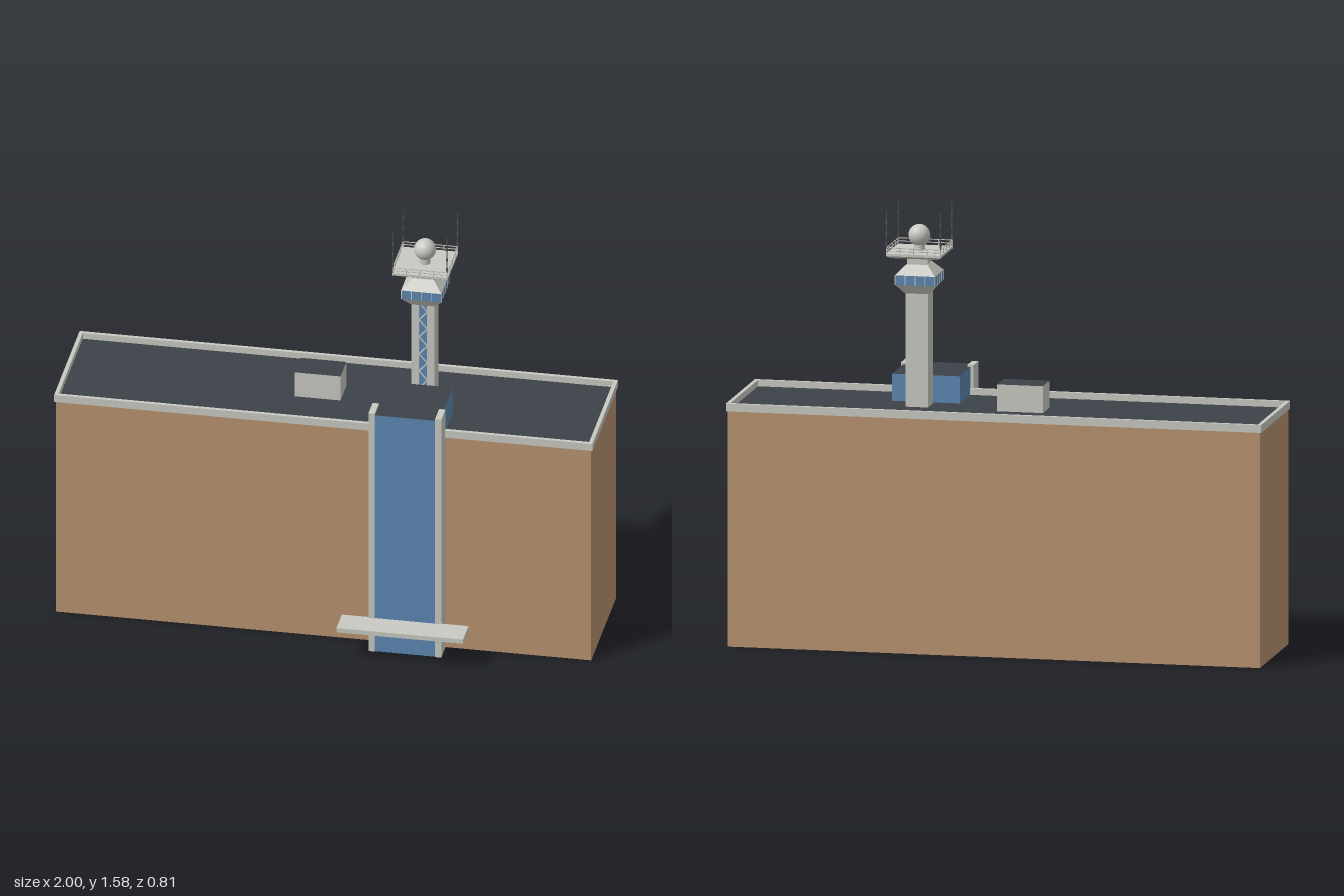
import * as THREE from 'three';

const material = (name, color, side = THREE.FrontSide) => {
  const m = new THREE.MeshStandardMaterial({ color, side });
  m.name = name;
  return m;
};

export function createModel() {
  const brick = material('tan wall', 0xb8926f, THREE.DoubleSide);
  const concrete = material('pale concrete', 0xc9c9c2, THREE.DoubleSide);
  const glass = material('blue glass', 0x5b87b3, THREE.DoubleSide);
  const roofing = material('dark roofing', 0x3d4249);
  const metal = material('dark metal', 0x55585a);

  const model = new THREE.Group();
  model.name = 'terminalWithTower';
  model.rotation.y = THREE.MathUtils.degToRad(10);

  const add = (name, geometry, mat, parent = model) => {
    const mesh = new THREE.Mesh(geometry, mat);
    mesh.name = name;
    parent.add(mesh);
    return mesh;
  };

  // Box given by its limits on each axis
  const boxGeo = (x0, x1, y0, y1, z0, z1) =>
    new THREE.BoxGeometry(x1 - x0, y1 - y0, z1 - z0)
      .translate((x0 + x1) / 2, (y0 + y1) / 2, (z0 + z1) / 2);
  const box = (name, mat, limits, parent) => add(name, boxGeo(...limits), mat, parent);

  // Box without a floor, with its own material on top
  const shell = (name, side, top, limits) => {
    const g = boxGeo(...limits);
    const index = Array.from(g.index.array);
    g.setIndex([...index.slice(0, 12), ...index.slice(24), ...index.slice(12, 18)]);
    g.clearGroups();
    g.addGroup(0, 24, 0);
    g.addGroup(24, 6, 1);
    return add(name, g, [side, top]);
  };

  // Flat-sided square frustum given by half widths
  const frustum = (name, mat, bottom, top, y0, y1, parent) => {
    const g = new THREE.CylinderGeometry(top * Math.SQRT2, bottom * Math.SQRT2, y1 - y0, 4)
      .rotateY(Math.PI / 4).translate(0, (y0 + y1) / 2, 0).toNonIndexed();
    g.computeVertexNormals();
    return add(name, g, mat, parent);
  };

  // Thin round bar between two points
  const bar = (name, mat, a, b, r, parent, sides = 6) => {
    const from = new THREE.Vector3(...a), to = new THREE.Vector3(...b);
    const dir = to.clone().sub(from);
    const mesh = add(name, new THREE.CylinderGeometry(r, r, dir.length(), sides), mat, parent);
    mesh.position.copy(from).add(to).multiplyScalar(0.5);
    mesh.quaternion.setFromUnitVectors(new THREE.Vector3(0, 1, 0), dir.normalize());
    return mesh;
  };

  // Main block, roof and parapet
  const hx = 0.9675, hz = 0.235, px = 0.973, pz = 0.242, t = 0.014;
  shell('mainBuilding', brick, brick, [-hx, hx, 0, 0.851, -hz, hz]);
  box('mainRoof', roofing, [-hx + 0.006, hx - 0.006, 0.851, 0.856, -hz + 0.006, hz - 0.006]);
  for (const s of [-1, 1]) {
    const z = s * (pz - t / 2), x = s * (px - t / 2);
    box('longParapet', concrete, [-px, px, 0.851, 0.879, z - t / 2, z + t / 2]);
    box('endParapet', concrete, [x - t / 2, x + t / 2, 0.851, 0.879, -pz + t, pz - t]);
  }

  // Rooftop plant room
  shell('plantRoom', concrete, roofing, [-0.14, 0.026, 0.852, 0.953, -0.06, 0.05]);

  // Glazed entrance bay with side piers and canopy
  shell('bayRear', glass, roofing, [0.188, 0.434, 0, 0.954, 0.058, 0.24]);
  shell('bayFront', glass, roofing, [0.2, 0.418, 0, 0.954, 0.24, 0.312]);
  for (const x of [0.177, 0.418]) {
    shell('bayPier', concrete, concrete, [x, x + 0.023, 0, 0.962, 0.237, 0.315]);
  }
  box('entranceCanopy', concrete, [0.08, 0.538, 0.117, 0.134, 0.308, 0.411]);

  // Tower
  const tower = new THREE.Group();
  tower.name = 'controlTower';
  tower.position.set(0.322, 0, -0.002);
  model.add(tower);

  // Shaft with a recessed glass strip and zigzag bracing
  const s = 0.041, slot = 0.015, recess = 0.023;
  box('shaftCore', concrete, [-s, s, 0.852, 1.272, -s, recess], tower);
  box('shaftLeftPier', concrete, [slot, s, 0.852, 1.272, recess, s], tower);
  box('shaftRightPier', concrete, [-s, -slot, 0.852, 1.272, recess, s], tower);
  box('shaftGlass', glass, [-slot, slot, 0.852, 1.272, recess, recess + 0.006], tower);
  const steps = 12, stepY = (1.27 - 0.856) / steps;
  for (let i = 0; i < steps; i++) {
    const side = i % 2 ? 1 : -1, y = 0.856 + i * stepY;
    bar('shaftBrace', concrete, [side * slot, y, 0.034], [-side * slot, y + stepY, 0.034], 0.0028, tower);
  }

  // Cab: flare, window band, sloped roof and neck
  frustum('cabFlare', concrete, 0.043, 0.072, 1.266, 1.3, tower);
  frustum('cabWindows', glass, 0.072, 0.072, 1.3, 1.335, tower);
  frustum('cabRoof', concrete, 0.073, 0.039, 1.335, 1.37, tower);
  frustum('cabNeck', concrete, 0.037, 0.037, 1.37, 1.405, tower);
  for (let side = 0; side < 4; side++) {
    const face = new THREE.Group();
    face.name = 'cabMullions';
    face.rotation.y = side * Math.PI / 2;
    tower.add(face);
    for (let i = 0; i < 5; i++) {
      const x = -0.072 + i * 0.036;
      box('mullion', concrete, [x - 0.0015, x + 0.0015, 1.3, 1.335, 0.071, 0.0735], face);
    }
  }

  // Railed platform
  const d = 0.1, rail = 0.098;
  frustum('platformUnderside', concrete, 0.085, d, 1.399, 1.408, tower);
  frustum('platformDeck', concrete, d, d, 1.408, 1.417, tower);
  for (let side = 0; side < 4; side++) {
    const edge = new THREE.Group();
    edge.name = 'platformRailing';
    edge.rotation.y = side * Math.PI / 2;
    tower.add(edge);
    for (const y of [1.427, 1.438]) {
      bar('handrail', concrete, [-rail, y, rail], [rail, y, rail], 0.0018, edge, 5);
    }
    for (let i = 0; i < 5; i++) {
      const x = -rail + i * rail / 2;
      bar('railPost', concrete, [x, 1.415, rail], [x, 1.438, rail], 0.002, edge, 5);
    }
    // Corner antenna with collars
    bar('antennaMast', metal, [rail, 1.41, rail], [rail, 1.575, rail], 0.0018, edge);
    for (const y of [1.45, 1.49, 1.53]) {
      bar('antennaCollar', metal, [rail, y - 0.006, rail], [rail, y + 0.006, rail], 0.0035, edge);
    }
  }

  // Radar dome on its pedestal
  bar('domePedestal', concrete, [0, 1.41, 0], [0, 1.445, 0], 0.02, tower, 16);
  add('radarDome', new THREE.SphereGeometry(0.039, 28, 18), concrete, tower).position.y = 1.471;

  const root = new THREE.Group();
  root.name = 'airportTerminal';
  root.add(model);
  return root;
}
